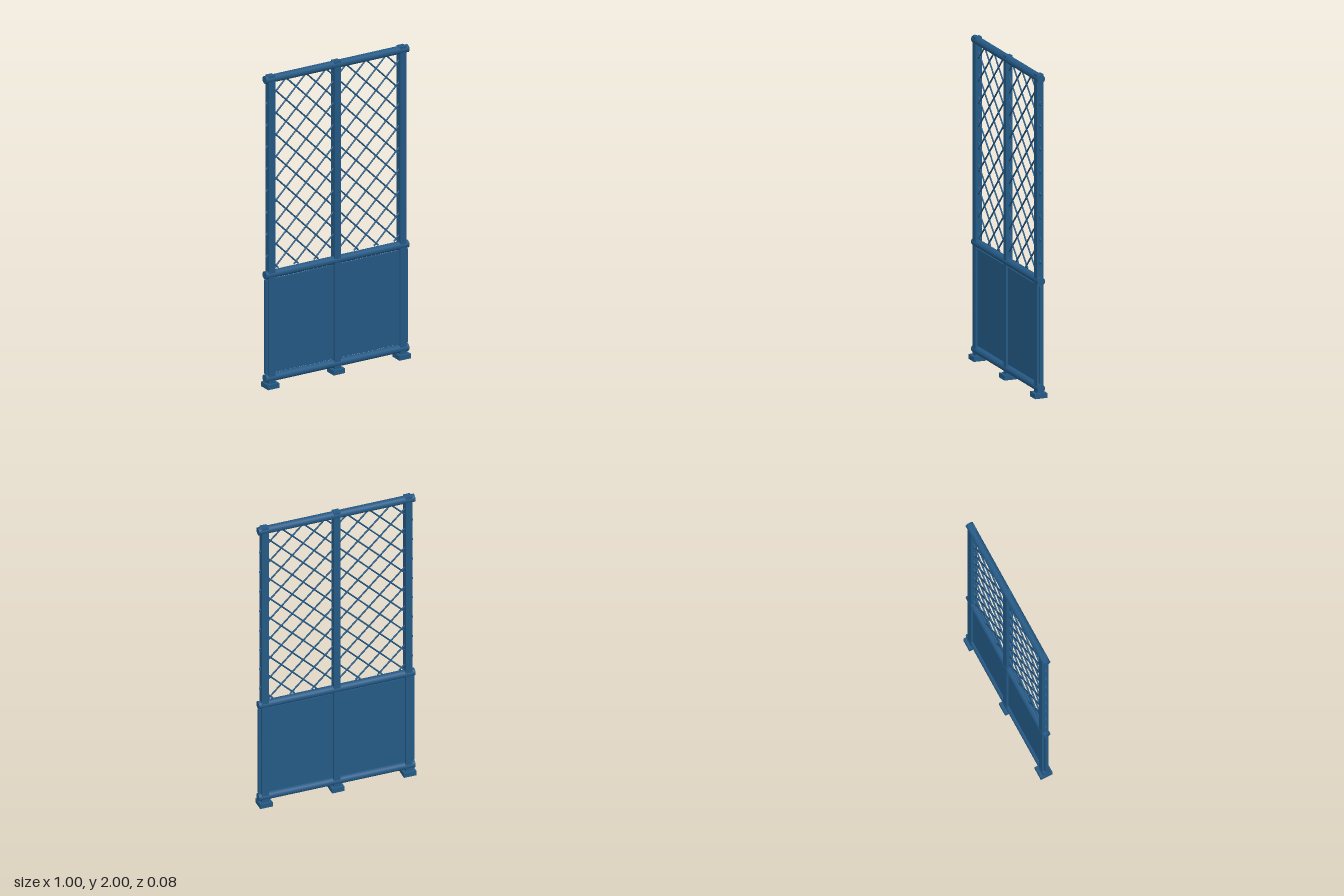
import * as THREE from 'three';

export function createModel() {
  const group = new THREE.Group();
  const paint = new THREE.MeshStandardMaterial({ color: 0x245985 });
  paint.name = 'blue paint';

  const add = (name, geometry, x, y, z = 0) => {
    const mesh = new THREE.Mesh(geometry, paint);
    mesh.name = name;
    mesh.position.set(x, y, z);
    group.add(mesh);
    return mesh;
  };

  // Square posts standing on foot plates
  const postGeometry = new THREE.BoxGeometry(0.043, 1.97, 0.043);
  const footGeometry = new THREE.BoxGeometry(0.08, 0.03, 0.08);
  for (const x of [-0.46, 0, 0.46]) {
    add('post', postGeometry, x, 1.015);
    add('foot', footGeometry, x, 0.015);
  }

  // Round rails: bottom, middle and top
  const railGeometry = new THREE.CylinderGeometry(0.0245, 0.0245, 1, 24);
  railGeometry.rotateZ(Math.PI / 2);
  for (const [name, y] of [['bottomRail', 0.061], ['middleRail', 0.723], ['topRail', 1.9755]]) {
    add(name, railGeometry, 0, y);
  }

  // Solid lower panel
  add('lowerPanel', new THREE.BoxGeometry(1, 0.6, 0.016), 0, 0.392);

  // Diagonal wire mesh, each wire cut to the opening
  const pitch = 0.14, halfWidth = 0.49, bottom = 0.755, top = 1.955;
  for (const slope of [1, -1]) {
    for (let i = 0; i < 20; i++) {
      // Wire follows y = slope * x + c
      const c = 0.07 + pitch * i;
      const y0 = Math.max(bottom, c - halfWidth);
      const y1 = Math.min(top, c + halfWidth);
      if (y1 - y0 < 0.01) continue;
      const length = (y1 - y0) * Math.SQRT2;
      const y = (y0 + y1) / 2;
      const wire = add('meshWire', new THREE.CylinderGeometry(0.005, 0.005, length, 8), slope * (y - c), y);
      wire.rotation.z = -slope * Math.PI / 4;
    }
  }

  return group;
}
